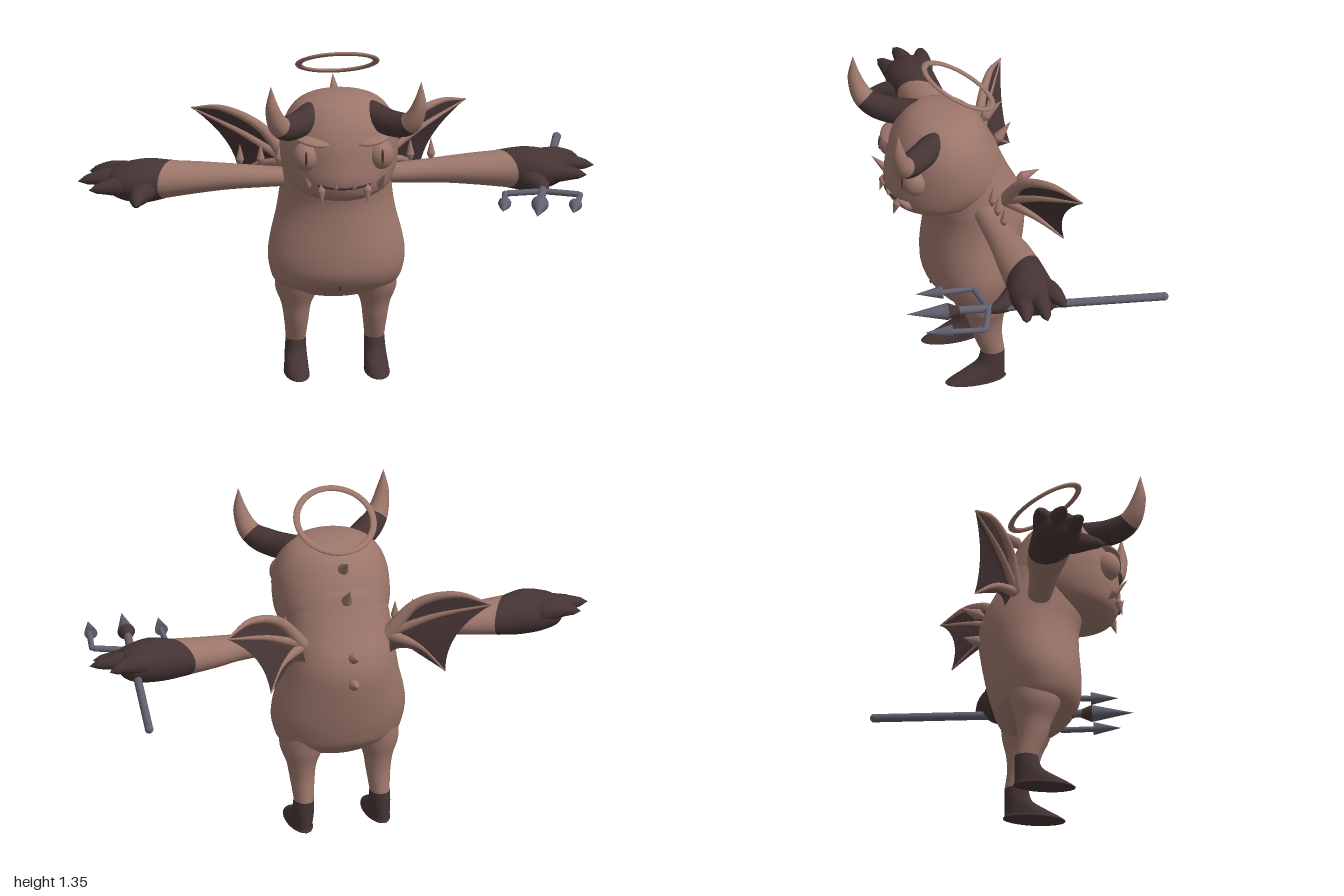
import * as THREE from 'three';

const V = (x, y, z) => new THREE.Vector3(x, y, z);
const skinMat = new THREE.MeshStandardMaterial({ color: 0x9c766b });
skinMat.name = 'skin';
const darkMat = new THREE.MeshStandardMaterial({ color: 0x463434, side: THREE.DoubleSide });
darkMat.name = 'dark hide';
const metalMat = new THREE.MeshStandardMaterial({ color: 0x636170 });
metalMat.name = 'steel';

function mesh(geometry, material, name) {
  const m = new THREE.Mesh(geometry, material);
  m.name = name;
  return m;
}

// Smooth closed skin over rows of points; winding is chosen so faces point outwards
function skinRows(rows) {
  const n = rows[0].length, pos = [], idx = [];
  let volume = 0;
  rows.forEach(r => r.forEach(p => pos.push(p.x, p.y, p.z)));
  const mid = rows.flat().reduce((a, p) => a.add(p), V(0, 0, 0)).divideScalar(n * rows.length);
  const tri = (a, b, c) => {
    idx.push(a, b, c);
    const [p, q, r] = [a, b, c].map(i => rows[Math.floor(i / n)][i % n].clone().sub(mid));
    volume += p.dot(q.cross(r));
  };
  for (let i = 0; i < rows.length - 1; i++) for (let j = 0; j < n; j++) {
    const a = i * n + j, b = i * n + (j + 1) % n;
    tri(a, a + n, b);
    tri(b, a + n, b + n);
  }
  if (volume < 0) idx.reverse();
  const g = new THREE.BufferGeometry();
  g.setAttribute('position', new THREE.Float32BufferAttribute(pos, 3));
  g.setIndex(idx);
  g.computeVertexNormals();
  return g;
}

// Loft through number tuples; place(section, angle) gives the surface point
function loft(secs, place, seg = 36, steps = 5) {
  const rows = [];
  const last = secs.length - 1;
  for (let k = 0; k <= last * steps; k++) {
    const i = Math.min(Math.floor(k / steps), last - 1), t = k / steps - i;
    const p = secs[Math.max(i - 1, 0)], a = secs[i], b = secs[i + 1], q = secs[Math.min(i + 2, last)];
    const s = a.map((v, c) => v + 0.5 * t * (b[c] - p[c] +
      t * (2 * p[c] - 5 * v + 4 * b[c] - q[c] + t * (3 * (v - b[c]) + q[c] - p[c]))));
    rows.push(Array.from({ length: seg }, (_, j) => place(s, j / seg * Math.PI * 2)));
  }
  return skinRows(rows);
}

// Tapered tube along points, with radii spread evenly; t0..t1 cuts out a stretch
function taper(points, radii, t0 = 0, t1 = 1, seg = 14) {
  const N = 24, curve = new THREE.CatmullRomCurve3(points), f = curve.computeFrenetFrames(N);
  const rows = [];
  for (let i = Math.round(t0 * N); i <= Math.round(t1 * N); i++) {
    const u = i / N * (radii.length - 1), k = Math.min(Math.floor(u), radii.length - 2);
    const r = THREE.MathUtils.lerp(radii[k], radii[k + 1], u - k), c = curve.getPointAt(i / N);
    rows.push(Array.from({ length: seg }, (_, j) => {
      const a = j / seg * Math.PI * 2;
      return c.clone().addScaledVector(f.normals[i], r * Math.cos(a)).addScaledVector(f.binormals[i], r * Math.sin(a));
    }));
  }
  return skinRows(rows);
}

const spike = (a, b, r, name) => mesh(taper([a, b], [0, r * 0.6, r, r * 0.75, r * 0.5, r * 0.25, 0], 0, 1, 10), skinMat, name);

function ellipsoid(c, rx, ry, rz, mat, name) {
  const m = mesh(new THREE.SphereGeometry(1, 24, 16), mat, name);
  m.scale.set(rx, ry, rz);
  m.position.copy(c);
  return m;
}

// Section: [y, half width, back z, front z]
const upright = ([y, w, zb, zf], a) => V(Math.max(w, 0) * Math.cos(a), y, (zb + zf) / 2 + (zf - zb) / 2 * Math.sin(a));

function wing(s) {
  const g = new THREE.Group();
  g.name = s > 0 ? 'leftWing' : 'rightWing';
  const P = (x, y, z) => V(s * x, y, z);
  const root = P(0.17, 0.82, -0.08), elbow = P(0.28, 0.955, -0.12), wrist = P(0.42, 1.01, -0.2);
  const tip = P(0.53, 0.99, -0.28), low = P(0.35, 0.72, -0.26), base = P(0.17, 0.76, -0.12);
  const scallop = (a, c, b) => new THREE.QuadraticBezierCurve3(a, c, b).getPoints(8);
  const edge = [elbow, wrist, ...scallop(tip, P(0.36, 0.87, -0.22), low), ...scallop(low, P(0.24, 0.82, -0.14), base)];
  const pos = [];
  for (let i = 0; i < edge.length - 1; i++) [root, edge[i], edge[i + 1]].forEach(p => pos.push(p.x, p.y, p.z));
  const geo = new THREE.BufferGeometry();
  geo.setAttribute('position', new THREE.Float32BufferAttribute(pos, 3));
  geo.computeVertexNormals();
  g.add(mesh(geo, darkMat, 'wingMembrane'));
  g.add(mesh(taper([root, elbow, wrist, tip], [0.03, 0.02, 0.014, 0.003], 0, 1, 10), skinMat, 'wingArm'));
  g.add(mesh(taper([root, P(0.33, 0.91, -0.16), tip], [0.02, 0.011, 0.003], 0, 1, 8), skinMat, 'wingFinger'));
  g.add(mesh(taper([root, P(0.28, 0.79, -0.17), low], [0.025, 0.012, 0.003], 0, 1, 8), skinMat, 'wingFinger'));
  return g;
}

function side(s) {
  const g = new THREE.Group();
  g.name = s > 0 ? 'leftSide' : 'rightSide';
  const P = (x, y, z) => V(s * x, y, z);
  const add = (geo, mat, name) => g.add(mesh(geo, mat, name));

  // Leg and foot: [y, centre x, half width, back z, front z]
  const legPlace = ([y, x, w, zb, zf], a) => upright([y, w, zb, zf], a).add(V(s * x, 0, 0));
  add(loft([[0.44, 0.14, 0.09, -0.1, 0.12], [0.35, 0.15, 0.085, -0.09, 0.095], [0.28, 0.153, 0.058, -0.075, 0.065],
    [0.21, 0.152, 0.047, -0.07, 0.045], [0.13, 0.152, 0.038, -0.08, 0.012]], legPlace, 24), skinMat, 'leg');
  add(loft([[0.13, 0.152, 0.039, -0.08, 0.013], [0.08, 0.153, 0.042, -0.08, 0.03], [0.045, 0.154, 0.045, -0.08, 0.09],
    [0.018, 0.155, 0.047, -0.08, 0.145], [0.004, 0.155, 0.045, -0.078, 0.148], [0, 0.155, 0, 0.03, 0.03]], legPlace, 24), darkMat, 'foot');

  // Arm and hand: [x, centre y, half height, centre z, half depth, slant]
  const armPlace = ([x, y, ry, z, rz, k], a) => P(x + k * rz * Math.sin(a), y + ry * Math.cos(a), z + rz * Math.sin(a));
  add(loft([[0.1, 0.795, 0.03, 0.01, 0.03, 0], [0.21, 0.795, 0.037, 0.01, 0.045, 0], [0.4, 0.8, 0.049, 0.005, 0.058, 0.2],
    [0.53, 0.798, 0.06, 0, 0.075, 0.5], [0.65, 0.795, 0.072, 0, 0.083, 0.6]], armPlace, 24), skinMat, 'arm');
  add(loft([[0.65, 0.795, 0.073, 0, 0.084, 0.6], [0.73, 0.795, 0.085, 0.005, 0.09, 0.3], [0.81, 0.793, 0.075, 0.005, 0.092, 0],
    [0.87, 0.795, 0.05, 0, 0.07, 0], [0.9, 0.795, 0, 0, 0, 0]], armPlace, 24), darkMat, 'palm');
  const fingers = [[[0.79, 0.81, -0.04], [0.87, 0.82, -0.065], [0.945, 0.81, -0.085]],
    [[0.8, 0.8, 0], [0.9, 0.81, 0], [1, 0.8, 0.008]],
    [[0.79, 0.79, 0.04], [0.88, 0.79, 0.06], [0.965, 0.785, 0.082]],
    [[0.74, 0.775, 0.05], [0.78, 0.76, 0.12], [0.795, 0.75, 0.195]]];
  fingers.forEach((f, i) => add(taper(f.map(p => P(...p)), [0.045, 0.045, 0.04, 0.034, 0.026, 0.018, 0]), darkMat, i < 3 ? 'finger' : 'thumb'));
  [0.22, 0.29, 0.37].forEach(x => g.add(spike(P(x, 0.83, -0.01), P(x, 0.925, -0.015), 0.016, 'armSpike')));

  // Two-tone curved horn
  const horn = [P(0.11, 1.1, 0.18), P(0.185, 1.085, 0.28), P(0.25, 1.105, 0.352), P(0.283, 1.18, 0.385), P(0.292, 1.285, 0.392)];
  const hornR = [0.05, 0.052, 0.05, 0.04, 0.025, 0];
  add(taper(horn, hornR, 0, 0.54, 20), darkMat, 'hornBase');
  add(taper(horn, hornR, 0.54, 1, 20), skinMat, 'hornTip');

  // Eye, pupil slit, brow and teeth
  g.add(ellipsoid(P(0.145, 0.96, 0.28), 0.052, 0.058, 0.052, skinMat, 'eye'));
  g.add(ellipsoid(P(0.148, 0.965, 0.329), 0.005, 0.03, 0.005, darkMat, 'pupil'));
  const brow = ellipsoid(P(0.115, 1.026, 0.29), 0.07, 0.014, 0.045, skinMat, 'brow');
  brow.rotation.set(0.15, s * 0.4, s * 0.08);
  g.add(brow);
  g.add(spike(P(0.09, 0.86, 0.325), P(0.088, 0.785, 0.347), 0.016, 'fang'));
  g.add(spike(P(0.135, 0.825, 0.285), P(0.155, 0.905, 0.36), 0.016, 'tusk'));
  g.add(spike(P(0.035, 0.84, 0.342), P(0.035, 0.875, 0.36), 0.009, 'tooth'));
  g.add(wing(s));
  return g;
}

function trident() {
  const g = new THREE.Group();
  g.name = 'trident';
  const y = 0.757, at = (x, z) => V(x, y, z);
  const rod = (a, b, r) => g.add(mesh(taper([a, b], [0, r, r, r, r, r, r, r, r, r, r, r, 0]), metalMat, 'rod'));
  const head = (a, b, r) => {
    const m = mesh(new THREE.ConeGeometry(r, a.distanceTo(b), 12), metalMat, 'prongHead');
    m.position.copy(a).lerp(b, 0.5);
    m.quaternion.setFromUnitVectors(V(0, 1, 0), b.clone().sub(a).normalize());
    g.add(m);
  };
  const shaft = taper([at(0.905, -0.49), at(0.75, 0.36)], [0.016, 0.016]);
  g.add(mesh(shaft, metalMat, 'shaft'));
  g.add(ellipsoid(at(0.905, -0.49), 0.017, 0.017, 0.017, metalMat, 'pommel'));
  rod(at(0.8, 0.18), at(0.632, 0.195), 0.012);
  rod(at(0.77, 0.175), at(0.93, 0.238), 0.012);
  rod(at(0.637, 0.18), at(0.62, 0.345), 0.011);
  rod(at(0.926, 0.225), at(0.89, 0.395), 0.011);
  head(at(0.622, 0.315), at(0.605, 0.42), 0.026);
  head(at(0.892, 0.36), at(0.873, 0.465), 0.026);
  head(at(0.757, 0.335), at(0.73, 0.495), 0.034);
  // Flared collar behind the middle point
  g.add(mesh(taper([at(0.764, 0.29), at(0.756, 0.338)], [0.014, 0.034]), darkMat, 'collar'));
  return g;
}

export function createModel() {
  const model = new THREE.Group();
  model.name = 'hornedImp';

  model.add(mesh(loft([[0.315, 0, 0, 0], [0.322, 0.1, -0.06, 0.07], [0.345, 0.19, -0.09, 0.11], [0.38, 0.237, -0.125, 0.16],
    [0.43, 0.257, -0.145, 0.19], [0.49, 0.265, -0.162, 0.197], [0.56, 0.255, -0.178, 0.195], [0.65, 0.232, -0.195, 0.188],
    [0.72, 0.22, -0.198, 0.188], [0.79, 0.213, -0.18, 0.2], [0.87, 0.205, -0.14, 0.2], [0.95, 0.19, -0.105, 0.18],
    [1.03, 0.15, -0.07, 0.15], [1.06, 0, 0, 0]], upright, 40), skinMat, 'torso'));
  model.add(mesh(loft([[0.775, 0, 0.17, 0.17], [0.778, 0.1, 0.05, 0.28], [0.79, 0.155, -0.01, 0.315], [0.82, 0.195, -0.06, 0.338],
    [0.87, 0.218, -0.115, 0.35], [0.93, 0.228, -0.112, 0.345], [1, 0.227, -0.085, 0.335], [1.06, 0.213, -0.058, 0.315],
    [1.11, 0.185, -0.03, 0.285], [1.145, 0.145, 0.005, 0.25], [1.165, 0.08, 0.06, 0.2], [1.17, 0, 0.13, 0.13]], upright, 40), skinMat, 'head'));

  // Mouth line and navel
  const lips = [];
  for (let a = -0.5; a <= 0.51; a += 0.125) lips.push(V(0.212 * Math.sin(a), 0.845 + 0.04 * a * a, 0.125 + 0.222 * Math.cos(a)));
  model.add(mesh(new THREE.TubeGeometry(new THREE.CatmullRomCurve3(lips), 24, 0.005, 6), darkMat, 'mouth'));
  model.add(ellipsoid(V(0, 0.39, 0.168), 0.005, 0.014, 0.005, darkMat, 'navel'));

  // Spikes down the back: [base y, base z, tip y, tip z]
  [[1.08, -0.02, 1.165, -0.122], [0.965, -0.08, 1.06, -0.155], [0.785, -0.17, 0.818, -0.272], [0.675, -0.18, 0.695, -0.262]]
    .forEach(([y, z, ty, tz]) => model.add(spike(V(0, y, z), V(0, ty, tz), 0.022, 'backSpike')));

  const halo = mesh(new THREE.TorusGeometry(0.15, 0.013, 10, 56), skinMat, 'halo');
  halo.rotation.x = Math.PI / 2 - 0.53;
  halo.scale.z = 0.55;
  halo.position.set(0, 1.265, 0.057);
  model.add(halo);

  model.add(side(1), side(-1), trident());
  return model;
}
